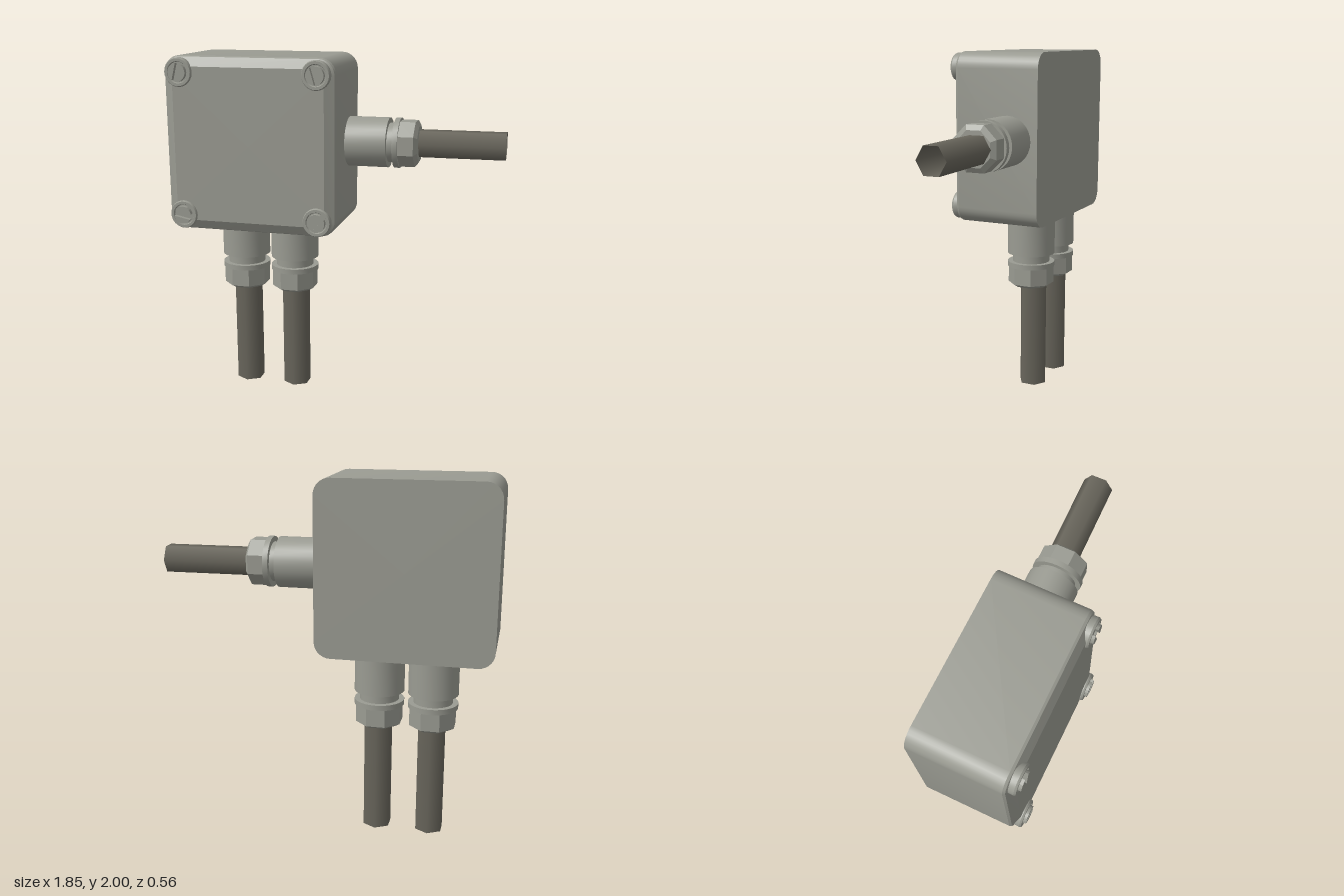
import * as THREE from 'three';
import { toCreasedNormals } from 'three/addons/utils/BufferGeometryUtils.js';

const grey = new THREE.MeshStandardMaterial({ color: 0x9a9b92 });
grey.name = 'greyPlastic';
const cableMat = new THREE.MeshStandardMaterial({ color: 0x69665c, side: THREE.DoubleSide });
cableMat.name = 'cableBrown';

function add(parent, name, geometry, material = grey) {
  const mesh = new THREE.Mesh(geometry, material);
  mesh.name = name;
  parent.add(mesh);
  return mesh;
}

// Rounded rectangle outline, anticlockwise seen from +z
function outline(w, h, r, z) {
  const pts = [], n = 7;
  for (let c = 0; c < 4; c++) {
    const sx = c === 0 || c === 3 ? 1 : -1, sy = c < 2 ? 1 : -1;
    for (let i = 0; i <= n; i++) {
      const a = (c + i / n) * Math.PI / 2;
      pts.push([sx * (w - r) + r * Math.cos(a), sy * (h - r) + r * Math.sin(a), z]);
    }
  }
  return pts;
}

// Closed solid through a list of convex rings ordered along +z
function loft(rings) {
  const pos = [], n = rings[0].length, last = rings[rings.length - 1];
  for (let i = 0; i < n; i++) {
    const j = (i + 1) % n;
    for (let k = 0; k < rings.length - 1; k++) {
      const a = rings[k][i], b = rings[k][j], c = rings[k + 1][j], d = rings[k + 1][i];
      pos.push(...a, ...b, ...c, ...a, ...c, ...d);
    }
    pos.push(0, 0, rings[0][0][2], ...rings[0][j], ...rings[0][i]);
    pos.push(0, 0, last[0][2], ...last[i], ...last[j]);
  }
  const g = new THREE.BufferGeometry();
  g.setAttribute('position', new THREE.Float32BufferAttribute(pos, 3));
  return toCreasedNormals(g, 0.4);
}

function lathe(points, segments) {
  const g = new THREE.LatheGeometry(points.map(p => new THREE.Vector2(...p)), segments);
  return toCreasedNormals(g, 0.5);
}

// Cable gland growing along +y from the box wall
function makeGland(name, nutEnd, cableEnd, tilt) {
  const gland = new THREE.Group();
  gland.name = name;
  const s = nutEnd - 0.415;
  add(gland, 'glandSocket', lathe([
    [0, -0.01], [0.14, -0.01], [0.14, 0.215 - s], [0.11, 0.215 - s], [0.11, 0.265],
    [0.14, 0.265], [0.14, 0.295], [0, 0.295],
  ], 28));
  // Eight-sided nut with a chamfered end
  const nutTop = nutEnd - 0.018, nutLength = nutTop - 0.29;
  const nut = new THREE.CylinderGeometry(0.135, 0.135, nutLength, 8).toNonIndexed();
  nut.computeVertexNormals();
  const nutMesh = add(gland, 'glandNut', nut);
  nutMesh.position.y = 0.29 + nutLength / 2;
  nutMesh.rotation.y = Math.PI / 8;
  const chamfer = new THREE.CylinderGeometry(0.105, 0.135, 0.018, 8).toNonIndexed();
  chamfer.computeVertexNormals();
  const chamferMesh = add(gland, 'nutChamfer', chamfer);
  chamferMesh.position.y = nutEnd - 0.009;
  chamferMesh.rotation.y = Math.PI / 8;
  // Hollow six-sided cable
  const start = nutEnd - 0.01, length = cableEnd - start;
  const cable = add(gland, 'cable',
    new THREE.CylinderGeometry(0.083, 0.083, length, 6, 1, true), cableMat);
  cable.position.set(0, start + length / 2, -0.018 - tilt * length / 2);
  cable.rotation.x = -tilt;
  return gland;
}

// Slotted screw in a round cup, facing +z
function makeScrew(angle) {
  const screw = new THREE.Group();
  screw.name = 'lidScrew';
  const cup = lathe([
    [0, 0], [0.078, 0], [0.08, 0.045], [0.075, 0.055], [0.06, 0.055], [0.056, 0.045], [0, 0.045],
  ], 24);
  cup.rotateX(Math.PI / 2);
  add(screw, 'screwCup', cup);
  // Two half heads leave the slot between them
  const r = 0.05, a = Math.asin(0.016 / r);
  for (const side of [0, Math.PI]) {
    const shape = new THREE.Shape();
    shape.absarc(0, 0, r, a, Math.PI - a, false);
    shape.closePath();
    const half = new THREE.ExtrudeGeometry(shape, { depth: 0.027, bevelEnabled: false, curveSegments: 12 });
    const mesh = add(screw, 'screwHeadHalf', toCreasedNormals(half, 0.5));
    mesh.position.z = 0.043;
    mesh.rotation.z = angle + side;
  }
  return screw;
}

export function createModel() {
  const model = new THREE.Group();
  model.name = 'junctionBox';

  // Enclosure and bevelled lid
  const w = 0.487, h = 0.485, cx = -0.438, cy = 1.515;
  const body = add(model, 'enclosure', loft([
    outline(w, h, 0.09, -0.28), outline(w, h, 0.09, 0.21),
  ]));
  const lid = add(model, 'lid', loft([
    outline(w, h, 0.09, 0.21), outline(w - 0.006, h - 0.006, 0.085, 0.223),
    outline(w - 0.057, h - 0.057, 0.04, 0.252),
  ]));
  body.position.set(cx, cy, 0);
  lid.position.set(cx, cy, 0);

  // Corner screws, each with its own slot angle
  const screws = [[-0.828, 1.912, 1.32], [-0.05, 1.912, 1.85], [-0.828, 1.118, -0.2], [-0.05, 1.118, 0.75]];
  for (const [x, y, angle] of screws) {
    const screw = makeScrew(angle);
    screw.position.set(x, y, 0.212);
    model.add(screw);
  }

  // Two glands below, one on the side
  for (const x of [-0.59, -0.287]) {
    const gland = makeGland('bottomGland', 0.415, 1.03, 0);
    gland.position.set(x, 1.03, -0.1);
    gland.rotation.z = Math.PI;
    model.add(gland);
  }
  const sideGland = makeGland('sideGland', 0.4, 0.875, 0.023);
  sideGland.position.set(0.049, 1.517, -0.1);
  sideGland.rotation.z = -Math.PI / 2;
  model.add(sideGland);

  return model;
}
